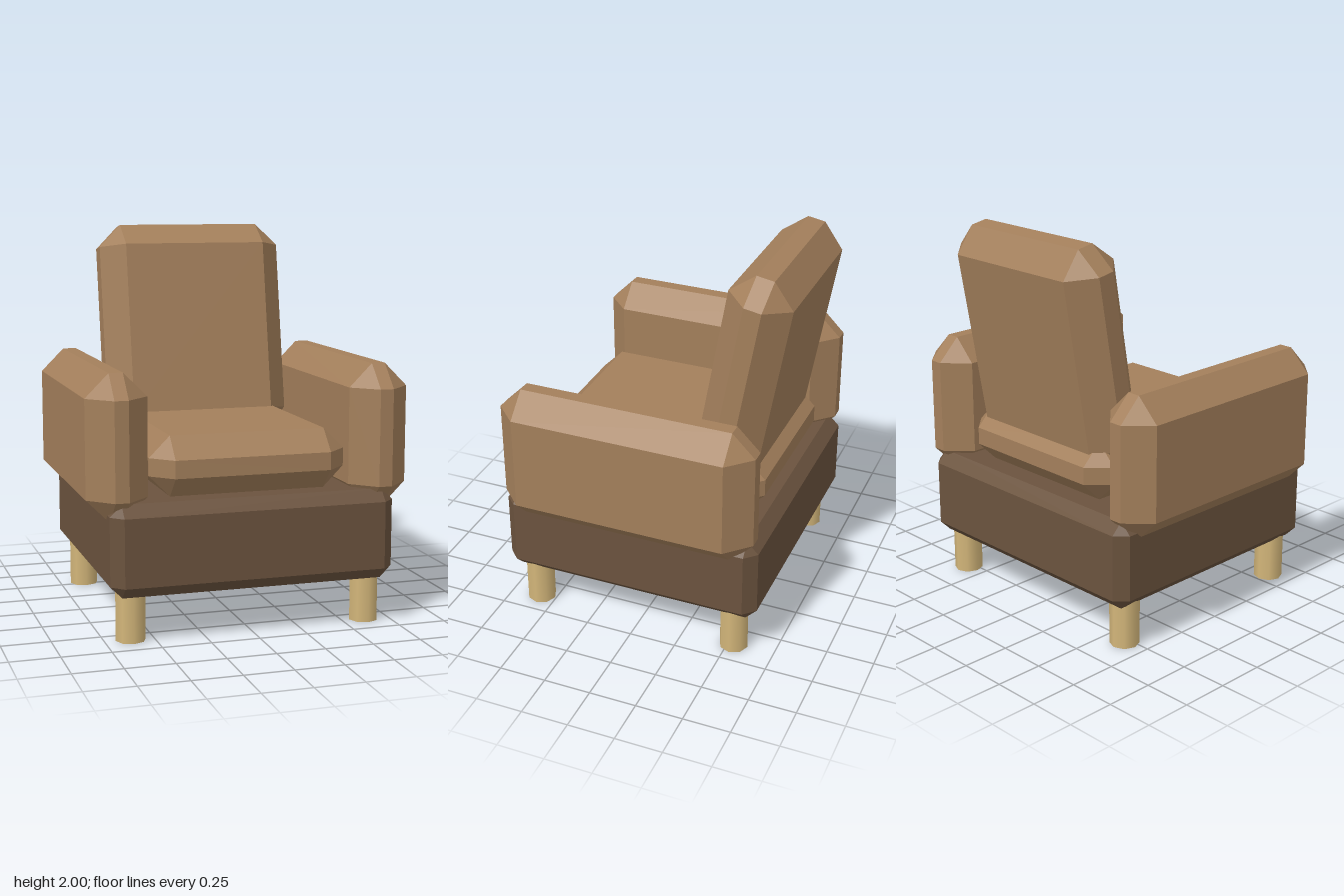
import * as THREE from 'three';
import { ConvexGeometry } from 'three/addons/geometries/ConvexGeometry.js';

const upholstery = new THREE.MeshStandardMaterial({ name: 'upholstery brown', color: 0xa37f5b });
const frameBrown = new THREE.MeshStandardMaterial({ name: 'dark frame brown', color: 0x6b533e });
const paleWood = new THREE.MeshStandardMaterial({ name: 'pale wood', color: 0xd3b67a });

// Box with 45 degree bevels on every edge and a triangle on every corner
function bevelledBox(name, material, [w, h, d], bevel, [x, y, z]) {
  const points = [];
  for (const sx of [-1, 1]) for (const sy of [-1, 1]) for (const sz of [-1, 1]) {
    for (let axis = 0; axis < 3; axis++) {
      const half = [w / 2, h / 2, d / 2].map((v, i) => (i === axis ? v : v - bevel));
      points.push(new THREE.Vector3(sx * half[0], sy * half[1], sz * half[2]));
    }
  }
  const mesh = new THREE.Mesh(new ConvexGeometry(points), material);
  mesh.name = name;
  mesh.position.set(x, y, z);
  return mesh;
}

export function createModel() {
  const chair = new THREE.Group();
  chair.name = 'armchair';

  // Base frame and seat
  chair.add(bevelledBox('base', frameBrown, [1.47, 0.465, 1.39], 0.06, [0, 0.4675, 0.025]));
  chair.add(bevelledBox('seatCushion', upholstery, [1.02, 0.305, 1.255], 0.107, [0, 0.8525, 0.025]));

  // Reclined back
  const back = bevelledBox('backCushion', upholstery, [1.02, 1.158, 0.332], 0.12, [0, 1.424, -0.467]);
  back.rotation.x = -THREE.MathUtils.degToRad(10);
  chair.add(back);

  // Arms and legs, mirrored left and right
  const legGeometry = new THREE.CylinderGeometry(0.076, 0.076, 0.32, 8);
  for (const [side, label] of [[1, 'left'], [-1, 'right']]) {
    chair.add(bevelledBox(label + 'Arm', upholstery, [0.31, 0.735, 1.36], 0.12, [side * 0.68, 0.9625, 0.025]));
    for (const [z, end] of [[0.583, 'Front'], [-0.53, 'Back']]) {
      const leg = new THREE.Mesh(legGeometry, paleWood);
      leg.name = label + end + 'Leg';
      leg.position.set(side * 0.618, 0.16, z);
      chair.add(leg);
    }
  }
  return chair;
}
